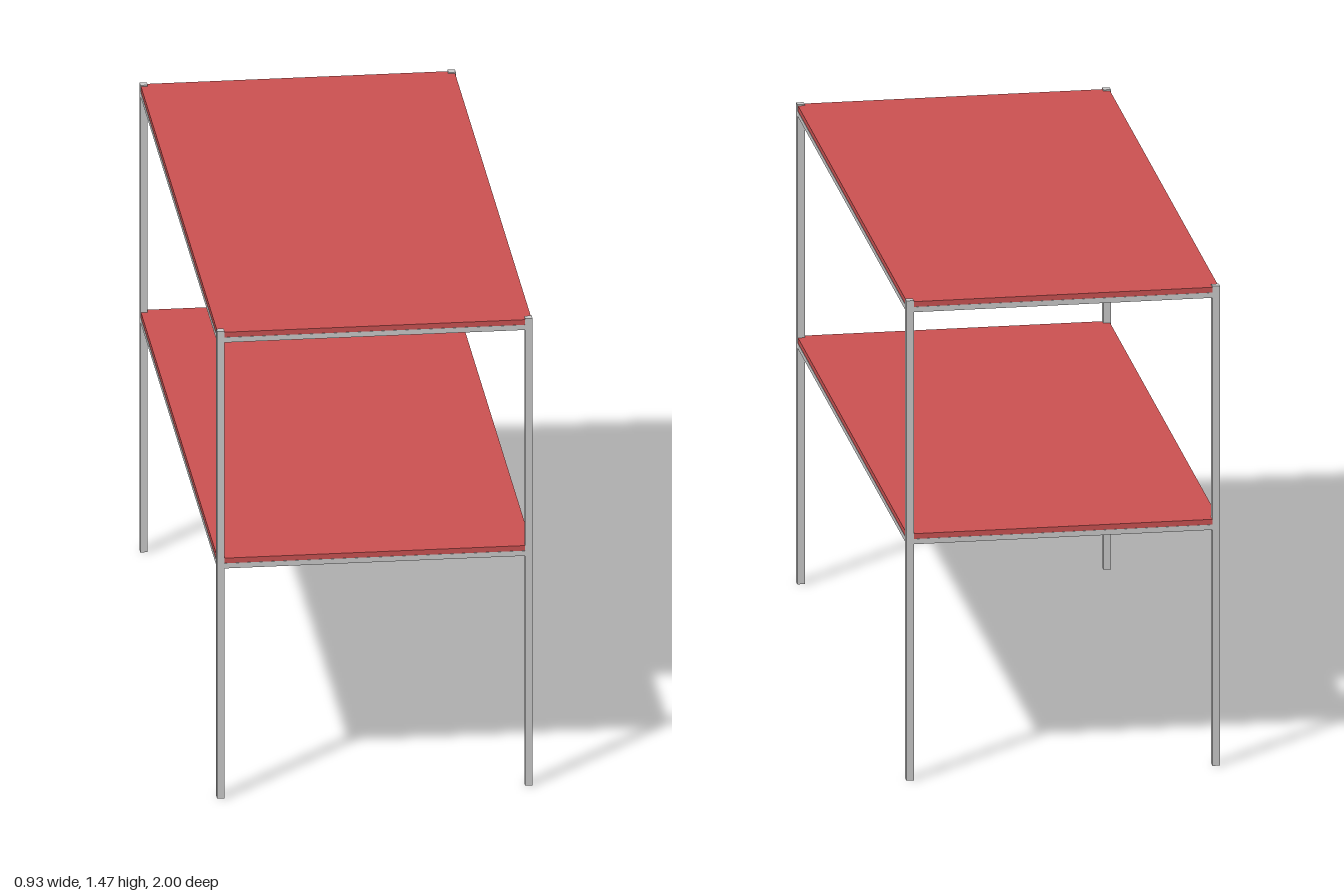
import * as THREE from 'three';

export function createModel() {
  const group = new THREE.Group();
  const metal = new THREE.MeshStandardMaterial({ color: 0xcccccc });
  const red = new THREE.MeshStandardMaterial({ color: 0xcc5252 });

  const W = 0.93, L = 2, H = 1.47; // overall size
  const T = 0.022;                 // square tube width
  const railH = 0.016, boardH = 0.016;

  const box = (name, material, w, h, d, x, y, z) => {
    const mesh = new THREE.Mesh(new THREE.BoxGeometry(w, h, d), material);
    mesh.name = name;
    mesh.position.set(x, y, z);
    group.add(mesh);
  };

  const px = (W - T) / 2, pz = (L - T) / 2;

  // Four corner legs
  for (const sx of [-1, 1])
    for (const sz of [-1, 1])
      box('leg', metal, T, H, T, sx * px, H / 2, sz * pz);

  // Two shelves, each a board resting on a rail frame between the legs
  for (const [level, top] of [['lower', 0.755], ['upper', 1.466]]) {
    const railY = top - boardH - railH / 2;
    for (const s of [-1, 1]) {
      box(level + 'SideRail', metal, T - 0.002, railH, L - 2 * T, s * px, railY, 0);
      box(level + 'EndRail', metal, W - 2 * T, railH, T - 0.002, 0, railY, s * pz);
    }
    box(level + 'Shelf', red, W - 0.004, boardH, L - 0.004, 0, top - boardH / 2, 0);
  }

  return group;
}
